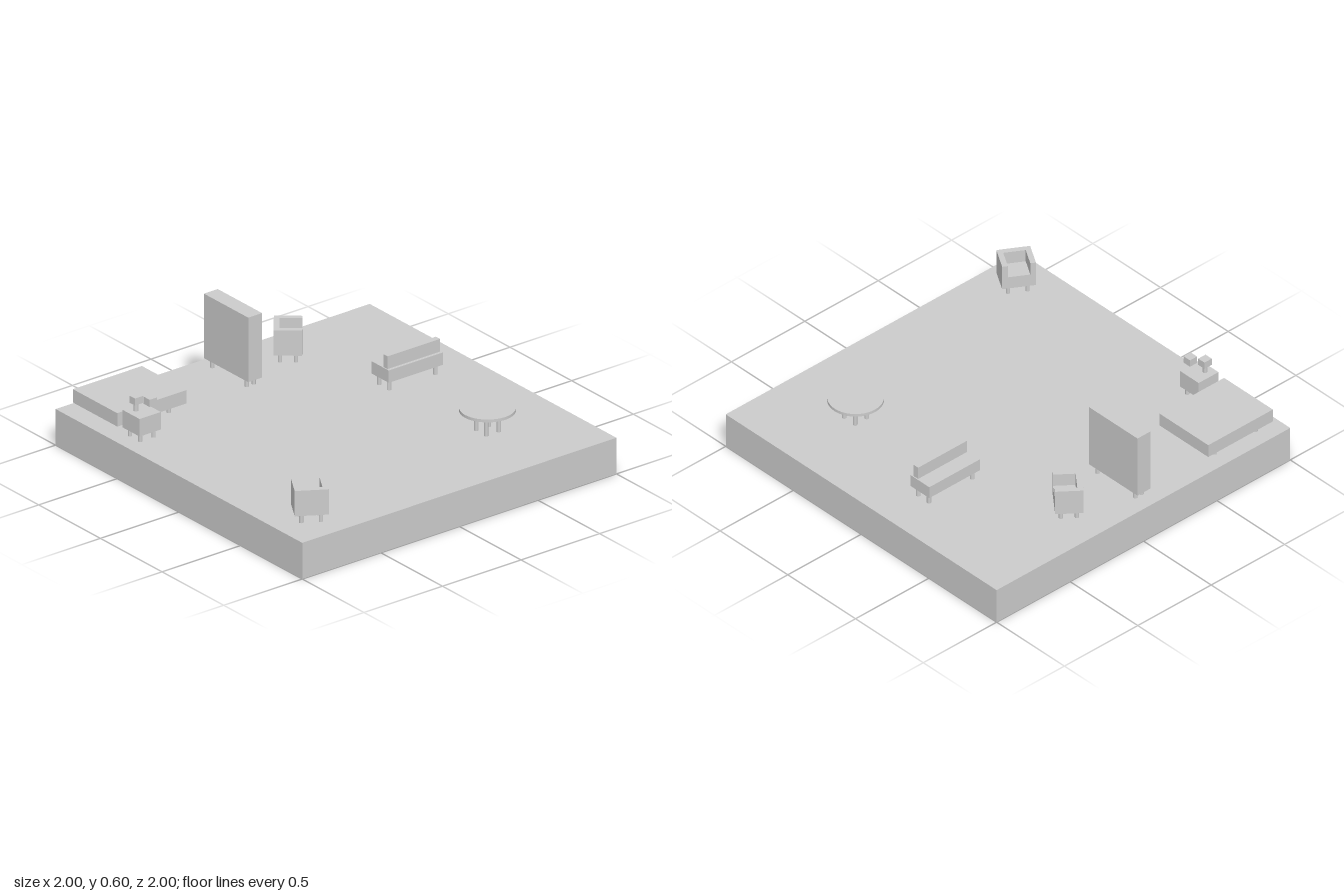
import * as THREE from 'three';

const FLOOR = 0.2;
const material = new THREE.MeshStandardMaterial({ color: 0xcccccc, flatShading: true });

function add(parent, name, geometry, x, y, z) {
  const mesh = new THREE.Mesh(geometry, material);
  mesh.name = name;
  mesh.position.set(x, y, z);
  parent.add(mesh);
  return mesh;
}

// Box given by its centre in x and z and its bottom and top heights
function box(parent, name, x, z, w, d, y0, y1) {
  return add(parent, name, new THREE.BoxGeometry(w, y1 - y0, d), x, (y0 + y1) / 2, z);
}

// Four round legs placed symmetrically around the piece's centre
function legs(parent, dx, dz, height, radius = 0.011) {
  const geometry = new THREE.CylinderGeometry(radius, radius, height, 12);
  for (const sx of [-1, 1]) for (const sz of [-1, 1])
    add(parent, 'leg', geometry, sx * dx, height / 2, sz * dz);
}

// Group standing on the floor
function piece(root, name, x, z, turn = 0) {
  const group = new THREE.Group();
  group.name = name;
  group.position.set(x, FLOOR, z);
  group.rotation.y = turn;
  root.add(group);
  return group;
}

function armchair(root, x, z, turn) {
  const chair = piece(root, 'armchair', x, z, turn);
  legs(chair, 0.05, 0.04, 0.05);
  box(chair, 'seat', 0, 0.015, 0.115, 0.113, 0.05, 0.12);
  box(chair, 'backrest', 0, -0.057, 0.115, 0.03, 0.05, 0.19);
  for (const s of [-1, 1]) box(chair, 'armrest', s * 0.072, 0, 0.029, 0.143, 0.05, 0.19);
}

export function createModel() {
  const root = new THREE.Group();
  root.name = 'furnishedRoom';
  box(root, 'floorSlab', 0, 0, 2, 2, 0, FLOOR);

  const bed = piece(root, 'bed', -0.76, 0.717);
  legs(bed, 0.14, 0.14, 0.04);
  box(bed, 'mattress', 0, 0, 0.36, 0.44, 0.04, 0.114);

  const wardrobe = piece(root, 'wardrobe', -0.76, 0.059);
  legs(wardrobe, 0.14, 0.022, 0.045);
  box(wardrobe, 'cabinet', 0, 0, 0.36, 0.088, 0.043, 0.4);

  // Bedside table with two small block shades, one on a stem
  const bedside = piece(root, 'bedsideTable', -0.482, 0.858);
  legs(bedside, 0.042, 0.042, 0.045);
  box(bedside, 'tableBody', 0, 0, 0.138, 0.135, 0.043, 0.14);
  add(bedside, 'lampStem', new THREE.CylinderGeometry(0.012, 0.012, 0.045, 12), -0.021, 0.162, 0.02);
  box(bedside, 'lampShade', -0.021, 0.02, 0.046, 0.05, 0.183, 0.222);
  box(bedside, 'lampShade', 0.04, -0.024, 0.048, 0.048, 0.185, 0.225);

  // Bench facing left with a raised back panel
  const bench = piece(root, 'bench', -0.19, -0.603);
  legs(bench, 0.04, 0.147, 0.056, 0.012);
  box(bench, 'seat', 0, 0, 0.14, 0.346, 0.055, 0.123);
  box(bench, 'backrest', 0.036, 0, 0.034, 0.334, 0.12, 0.193);

  const table = piece(root, 'roundTable', 0.538, -0.542);
  legs(table, 0.04, 0.04, 0.116);
  add(table, 'tableTop', new THREE.CylinderGeometry(0.143, 0.143, 0.016, 48), 0, 0.122, 0);

  armchair(root, -0.758, -0.29, 2.47);
  armchair(root, 0.798, 0.792, -2.11);
  return root;
}
